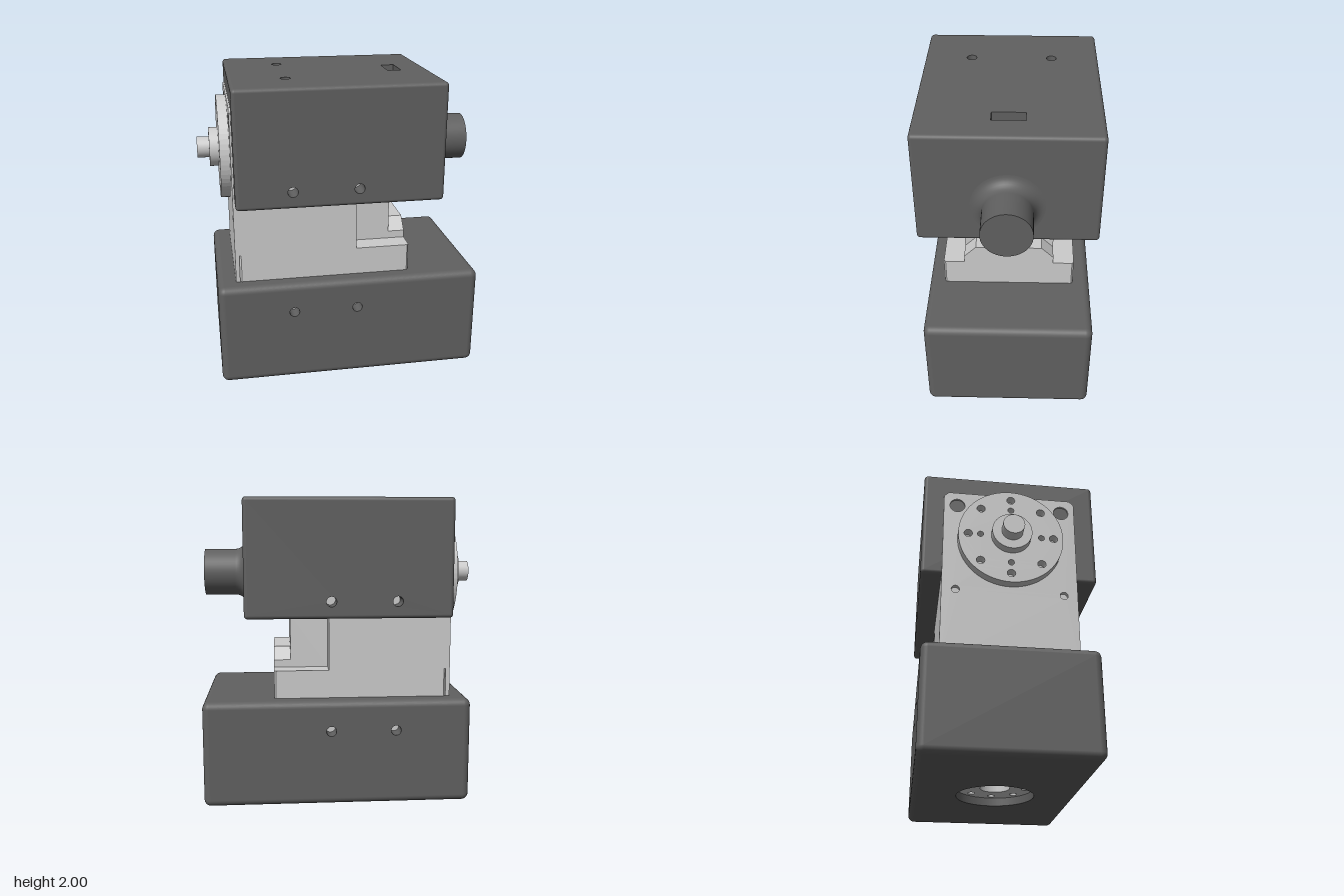
import * as THREE from 'three';
import { RoundedBoxGeometry } from 'three/addons/geometries/RoundedBoxGeometry.js';

const grey = new THREE.MeshStandardMaterial({ color: 0xcccccc });
const dark = new THREE.MeshStandardMaterial({ color: 0x606060 });
const tunnelMat = new THREE.MeshStandardMaterial({ color: 0x606060, side: THREE.BackSide });
const PI = Math.PI;

function mesh(name, geometry, material, parent) {
  const m = new THREE.Mesh(geometry, material);
  m.name = name;
  parent.add(m);
  return m;
}

const poly = (pts) => new THREE.Shape(pts.map(([x, y]) => new THREE.Vector2(x, y)));

function circle(x, y, r) {
  return new THREE.Path().absarc(x, y, r, 0, PI * 2, true);
}

const extrude = (shape, depth) =>
  new THREE.ExtrudeGeometry(shape, { depth, bevelEnabled: false, curveSegments: 32 });

// Rotation that turns a panel facing +z towards each side of a box
const FACES = {
  front: [0, 0], back: [0, PI], right: [0, PI / 2], left: [0, -PI / 2],
  top: [-PI / 2, 0], bottom: [PI / 2, 0],
};

// Rounded box with drilled faces; a hole is { x, y, w, h, depth, sides } in panel coordinates
function housing(name, min, max, r, holes, parent) {
  const size = max.map((v, i) => v - min[i]);
  const group = new THREE.Group();
  group.name = name;
  group.position.set(...max.map((v, i) => (v + min[i]) / 2));
  parent.add(group);

  // Rounded rim: keep only the curved triangles, the flats become panels
  const box = new RoundedBoxGeometry(...size, 4, r);
  const src = box.index ? box.toNonIndexed() : box;
  const p = src.attributes.position.array, n = src.attributes.normal.array;
  const pos = [], nor = [];
  for (let t = 0; t < p.length; t += 9) {
    const flat = [0, 1, 2].some((a) => [0, 3, 6].every((k) => Math.abs(n[t + k + a]) > 0.9999));
    if (flat) continue;
    pos.push(...p.slice(t, t + 9));
    nor.push(...n.slice(t, t + 9));
  }
  const rim = new THREE.BufferGeometry();
  rim.setAttribute('position', new THREE.Float32BufferAttribute(pos, 3));
  rim.setAttribute('normal', new THREE.Float32BufferAttribute(nor, 3));
  mesh('roundedEdges', rim, dark, group);

  for (const [face, [rx, ry]] of Object.entries(FACES)) {
    const [w, h, d] = rx ? [size[0], size[2], size[1]]
      : Math.abs(ry) === PI / 2 ? [size[2], size[1], size[0]] : size;
    const side = new THREE.Group();
    side.name = face + 'Side';
    side.rotation.set(rx, ry, 0);
    group.add(side);
    const a = w / 2 - r, b = h / 2 - r;
    const shape = poly([[-a, -b], [a, -b], [a, b], [-a, b]]);
    for (const o of holes[face] || []) {
      const sides = o.sides || 24, k = sides === 4 ? Math.SQRT1_2 : 0.5;
      const pts = Array.from({ length: sides }, (_, i) => {
        const t = ((i + 0.5) / sides) * PI * 2;
        return new THREE.Vector2(o.x + o.w * k * Math.cos(t), o.y + o.h * k * Math.sin(t));
      });
      shape.holes.push(new THREE.Path(pts));
      let g = new THREE.CylinderGeometry(k, k, o.depth, sides, 1, true, PI / sides);
      g.rotateX(PI / 2).scale(o.w, o.h, 1);
      if (sides === 4) {
        g = g.toNonIndexed();
        g.computeVertexNormals();
      }
      mesh('holeWall', g, tunnelMat, side).position.set(o.x, o.y, d / 2 - o.depth / 2);
    }
    mesh(face + 'Panel', new THREE.ShapeGeometry(shape), dark, side).position.z = d / 2;
  }
  return group;
}

// Box with chamfered upright edges, or any plan outline (x, z), between two heights
function upright(name, outline, y0, y1, parent) {
  const g = extrude(poly(outline.map(([x, z]) => [x, -z])), y1 - y0);
  g.rotateX(-PI / 2).translate(0, y0, 0);
  return mesh(name, g, grey, parent);
}

function chamferedPlan(x0, x1, z, c) {
  return [[x0, z - c], [x0 + c, z], [x1 - c, z], [x1, z - c],
    [x1, c - z], [x1 - c, -z], [x0 + c, -z], [x0, c - z]];
}

export function createModel() {
  const model = new THREE.Group();
  model.name = 'twoAxisActuator';

  // Housings with their screw holes
  const sideHoles = (cx, dy, depth, mirror) =>
    [-0.345, 0.08].map((x) => ({ x: mirror * (x - cx), y: dy, w: 0.066, h: 0.066, depth }));
  housing('lowerHousing', [-0.84, 0, -0.555], [0.915, 0.695, 0.545], 0.045, {
    front: sideHoles(0.0375, 0.147, 0.105, 1),
    back: sideHoles(0.0375, 0.147, 0.115, -1),
    bottom: [{ x: 0.02, y: 0.005, w: 0.52, h: 0.52, depth: 0.06, sides: 48 }],
  }, model);
  const cx = -0.035;
  housing('upperHousing', [-0.705, 1.235, -0.575], [0.635, 2, 0.575], 0.024, {
    front: sideHoles(cx, -0.2725, 0.135, 1),
    back: sideHoles(cx, -0.2725, 0.135, -1),
    top: [
      ...[-1, 1].map((s) => ({ x: -0.345 - cx, y: s * 0.265, w: 0.066, h: 0.066, depth: 0.14 })),
      { x: 0.4025 - cx, y: 0, w: 0.09, h: 0.21, depth: 0.14, sides: 4 },
    ],
  }, model);

  // Motor bodies and the neck between the housings
  const body = new THREE.Group();
  body.name = 'motorBody';
  model.add(body);
  upright('lowerBody', chamferedPlan(-0.69, 0.45, 0.44, 0.012), 0.12, 0.88, body);
  upright('neck', [[-0.69, 0.44], [0.09, 0.44], [0.09, 0.3], [0.34, 0.3],
    [0.34, -0.3], [0.09, -0.3], [0.09, -0.44], [-0.69, -0.44]], 0.88, 1.23, body);
  upright('upperBody', chamferedPlan(-0.69, 0.45, 0.44, 0.012), 1.228, 1.86, body);
  const ridge = extrude(poly([[-0.3, 0.88], [0.3, 0.88], [0.3, 0.93], [0.22, 1.01],
    [-0.22, 1.01], [-0.3, 0.93]]), 0.11);
  ridge.rotateY(PI / 2).translate(0.34, 0, 0);
  mesh('ridge', ridge, grey, body);

  // Output end on the -x side: mounting plate, drilled flange, boss and shaft
  const output = new THREE.Group();
  output.name = 'outputDrive';
  output.rotation.y = -PI / 2;
  model.add(output);
  const plate = poly([[-0.44, 0.6], [0.44, 0.6], [0.44, 1.83], [0.41, 1.86], [-0.41, 1.86], [-0.44, 1.83]]);
  for (const s of [-1, 1]) plate.holes.push(circle(s * 0.35, 1.76, 0.05), circle(s * 0.35, 1.12, 0.026));
  mesh('mountingPlate', extrude(plate, 0.027), grey, output).position.z = 0.69;

  function drilledDisc(radius, rings) {
    const s = new THREE.Shape().absarc(0, 0, radius, 0, PI * 2, false);
    for (const [count, ringR, r] of rings) {
      for (let i = 0; i < count; i++) {
        const t = (i / count) * PI * 2;
        s.holes.push(circle(ringR * Math.cos(t), ringR * Math.sin(t), r));
      }
    }
    return s;
  }
  const axisY = 1.505;
  mesh('flange', extrude(drilledDisc(0.345, [[8, 0.28, 0.027], [4, 0.2, 0.02]]), 0.065), grey, output)
    .position.set(0, axisY, 0.715);
  for (const [name, r, from, to] of [['boss', 0.13, 0.77, 0.84], ['shaft', 0.07, 0.83, 0.92]]) {
    const g = new THREE.CylinderGeometry(r, r, to - from, 40).rotateX(PI / 2);
    mesh(name, g, grey, output).position.set(0, axisY, (from + to) / 2);
  }

  // Drilled horn recessed in the underside
  const horn = extrude(drilledDisc(0.26, [[8, 0.205, 0.025], [1, 0, 0.1]]), 0.07);
  horn.rotateX(-PI / 2);
  mesh('bottomHorn', horn, grey, model).position.set(0.0575, 0.055, 0);

  // Cable outlet on the +x side with a flared root
  const profile = [];
  for (let i = 0; i <= 8; i++) {
    const t = (i / 8) * (PI / 2);
    profile.push(new THREE.Vector2(0.233 - 0.075 * Math.sin(t), 0.075 - 0.075 * Math.cos(t)));
  }
  profile.push(new THREE.Vector2(0.158, 0.28));
  const outlet = new THREE.Group();
  outlet.name = 'cableOutlet';
  outlet.position.set(0.635, axisY, 0);
  outlet.rotation.z = -PI / 2;
  model.add(outlet);
  mesh('outletTube', new THREE.LatheGeometry(profile, 48), dark, outlet);
  const cap = new THREE.CircleGeometry(0.158, 48).rotateX(-PI / 2);
  mesh('outletCap', cap, dark, outlet).position.y = 0.28;

  return model;
}
